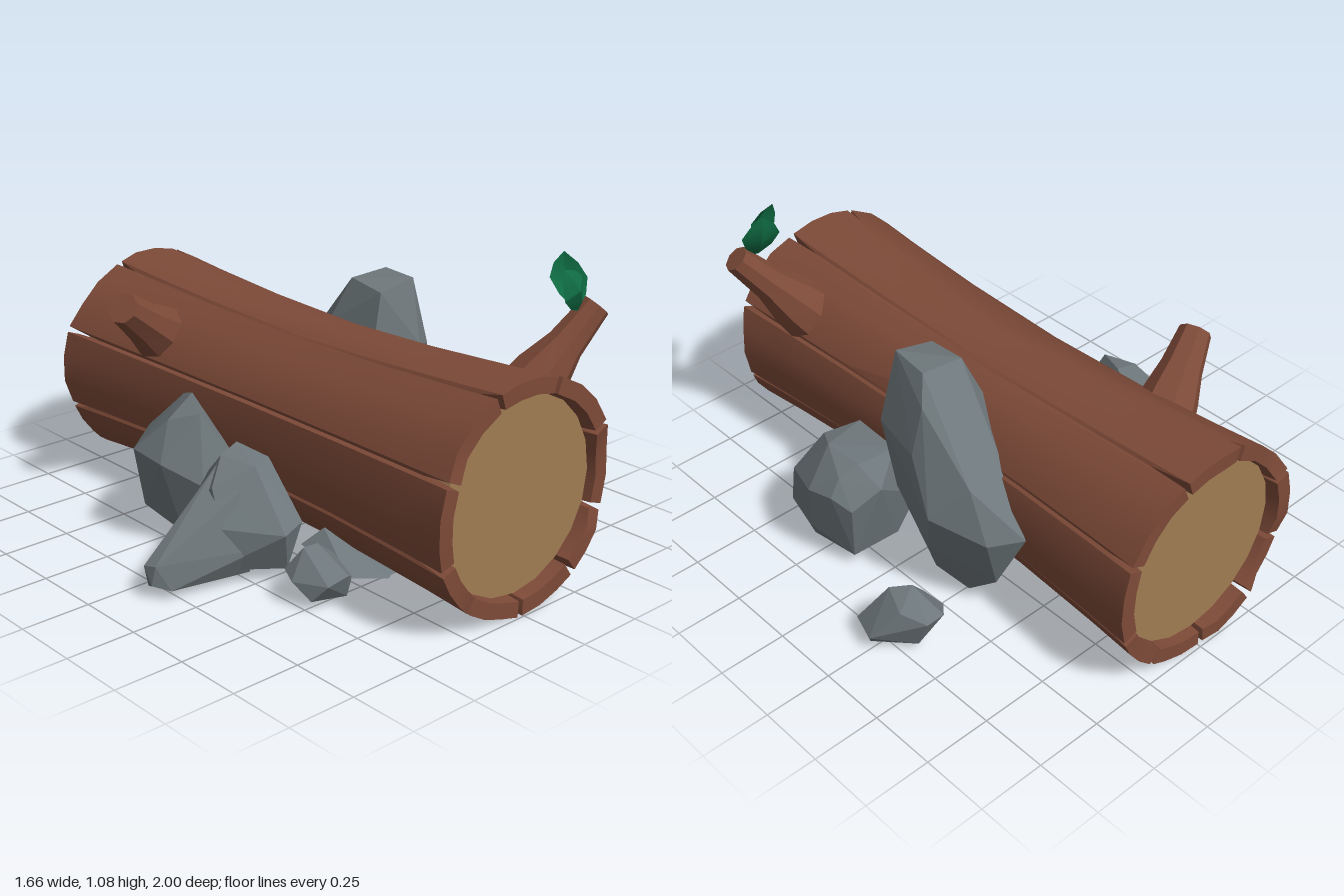
import * as THREE from 'three';
import { toCreasedNormals } from 'three/addons/utils/BufferGeometryUtils.js';
import { ConvexGeometry } from 'three/addons/geometries/ConvexGeometry.js';

const V = (x, y, z) => new THREE.Vector3(x, y, z);
const barkMat = new THREE.MeshStandardMaterial({ color: 0x7d4a38 });
const woodMat = new THREE.MeshStandardMaterial({ color: 0xa07c52 });
const rockMat = new THREE.MeshStandardMaterial({ color: 0x6e777b });
const leafMat = new THREE.MeshStandardMaterial({ color: 0x0f6b42, side: THREE.DoubleSide });

const AXIS_Y = 0.41;

function named(name, geometry, material) {
  const mesh = new THREE.Mesh(geometry, material);
  mesh.name = name;
  return mesh;
}

// Surface from a grid of points: rows[j][i]
function gridGeometry(columns, closed) {
  const n = columns[0].length, m = columns.length, index = [];
  for (let j = 0; j < (closed ? m : m - 1); j++) {
    const a = j * n, b = ((j + 1) % m) * n;
    for (let i = 0; i < n - 1; i++) index.push(a + i, b + i, a + i + 1, b + i, b + i + 1, a + i + 1);
  }
  const g = new THREE.BufferGeometry().setFromPoints(columns.flat());
  g.setIndex(index);
  return toCreasedNormals(g, 0.45);
}

// Bark tube, flared at the ends, with V-shaped splits running in from both ends
function barkGeometry() {
  const splits = [25, 70, 110, 157, 200, 233, 268, 306, 340];
  const marks = [];
  splits.forEach((a, k) => {
    const next = splits[(k + 1) % splits.length] + (k === splits.length - 1 ? 360 : 0);
    marks.push([a - 1.6, 0, k], [a, 1, k], [a + 1.6, 0, k]);
    for (const t of [0.36, 0.68]) marks.push([a + (next - a) * t, 0, k]);
  });
  const columns = marks.map(([deg, split, k], j) => {
    const a = THREE.MathUtils.degToRad(deg);
    const at = (r, z) => V(r * Math.cos(a), AXIS_Y + r * Math.sin(a), z);
    const wobble = 0.006 * Math.sin(j * 2.3);
    const outer = z => 0.354 + 0.05 * Math.abs(z) ** 1.7 + wobble * (1 - Math.abs(z)) - (split ? 0.01 : 0);
    const endFront = split ? 0.87 - 0.03 * Math.sin(k * 2) : 0.99 + 0.01 * Math.cos(k * 1.9);
    const endBack = split ? 0.86 + 0.03 * Math.cos(k * 3) : 0.99 + 0.01 * Math.sin(k * 2.7);
    return [
      at(0.325, -0.8), at(0.347, -endBack),
      ...[-endBack, -0.8, -0.45, 0, 0.45, 0.8, endFront].map(z => at(outer(z), z)),
      at(0.347, endFront), at(0.325, 0.8),
    ];
  });
  return gridGeometry(columns, true);
}

// Tapered branch stub with a flared root
function branch(name, from, to, rootR, tipR) {
  const dir = to.clone().sub(from), len = dir.length();
  const profile = [[rootR, 0], [rootR * 0.86, 0.3], [tipR * 1.3, 0.6], [tipR, 1], [0, 1]]
    .map(([r, t]) => new THREE.Vector2(r, t * len));
  const mesh = named(name, toCreasedNormals(new THREE.LatheGeometry(profile, 8), 0.6), barkMat);
  mesh.position.copy(from);
  mesh.quaternion.setFromUnitVectors(V(0, 1, 0), dir.normalize());
  return mesh;
}

// Leaf folded along its midrib
function leaf(name, base, tip, side, bow) {
  const columns = [-1, 0, 1].map(s => [[0, 0.1], [0.25, 0.7], [0.55, 1], [0.8, 0.65], [1, 0]].map(([t, w]) =>
    base.clone().lerp(tip, t)
      .addScaledVector(side, s * w)
      .addScaledVector(bow, Math.sin(Math.PI * t) * (s ? 0.3 : 1))));
  return named(name, gridGeometry(columns, false), leafMat);
}

// Faceted boulders, each the hull of a few corners; the pointed one is two hulls
const rocks = {
  tallRock: [
    [0.24, 0.83, 0.07], [0.39, 0.86, 0.08], [0.41, 0.86, -0.08], [0.25, 0.85, -0.09], [0.46, 0.77, -0.13],
    [0.37, 0.63, 0.14], [0.46, 0.6, 0.09], [0.2, 0.65, 0.08], [0.19, 0.68, -0.15], [0.51, 0.6, -0.13],
    [0.55, 0.42, -0.25], [0.46, 0.56, -0.36], [0.37, 0.4, -0.53], [0.47, 0.38, -0.45], [0.3, 0.6, -0.33],
    [0.4, 0.16, -0.42], [0.25, 0.05, -0.28], [0.39, 0.02, -0.27], [0.41, 0.04, -0.12], [0.22, 0.08, -0.12],
    [0.45, 0.34, 0.03], [0.25, 0.34, 0.03], [0.51, 0.25, -0.2]],
  broadRock: [
    [0.39, 0.44, 0.3], [0.52, 0.43, 0.34], [0.57, 0.46, 0.25], [0.56, 0.45, 0.1], [0.4, 0.44, 0.1],
    [0.63, 0.42, 0.12], [0.69, 0.34, 0.22], [0.67, 0.35, 0.12], [0.52, 0.36, 0.03], [0.63, 0.3, 0.06],
    [0.62, 0.29, 0.4], [0.45, 0.29, 0.45], [0.35, 0.15, 0.47], [0.46, 0.14, 0.5], [0.61, 0.12, 0.44],
    [0.67, 0.15, 0.25], [0.62, 0.05, 0.3], [0.6, 0.06, 0.1], [0.4, 0.02, 0.22], [0.45, 0.03, 0.38],
    [0.34, 0.08, 0.4], [0.32, 0.2, 0.08], [0.4, 0.05, 0.1]],
  smallSideRock: [
    [0.56, 0.1, -0.33], [0.62, 0.14, -0.4], [0.7, 0.15, -0.41], [0.83, 0.07, -0.26], [0.8, 0.08, -0.16],
    [0.65, 0.11, -0.17], [0.56, 0.09, -0.23], [0.67, 0.24, -0.3], [0.72, 0.22, -0.24], [0.75, 0.18, -0.33],
    [0.65, 0.02, -0.28], [0.81, 0.03, -0.24], [0.7, 0.03, -0.36]],
  pointedRockBody: [
    [-0.5, 0.42, 0.08], [-0.4, 0.43, 0.04], [-0.36, 0.4, 0.16], [-0.45, 0.4, 0.2], [-0.58, 0.34, 0.13],
    [-0.45, 0.28, -0.08], [-0.36, 0.3, -0.05], [-0.58, 0.25, 0.02], [-0.6, 0.22, 0.2], [-0.45, 0.2, 0.35],
    [-0.36, 0.22, 0.33], [-0.62, 0.07, 0.18], [-0.58, 0.06, 0.03], [-0.4, 0.05, 0.3], [-0.4, 0.04, -0.02],
    [-0.27, 0.08, 0.12]],
  pointedRockTip: [
    [-0.83, 0.12, 0.08], [-0.82, 0.13, 0.13], [-0.83, 0.06, 0.12], [-0.8, 0.03, 0.06], [-0.78, 0.04, 0.16],
    [-0.72, 0.2, 0.08], [-0.52, 0.39, 0.08], [-0.52, 0.33, 0.2], [-0.53, 0.25, 0], [-0.5, 0.14, 0.27],
    [-0.5, 0.04, 0.22], [-0.5, 0.05, 0]],
  backSideRock: [
    [-0.4, 0.54, -0.2], [-0.53, 0.48, -0.17], [-0.46, 0.51, -0.08], [-0.36, 0.5, -0.3], [-0.6, 0.36, -0.28],
    [-0.59, 0.34, -0.14], [-0.42, 0.36, -0.43], [-0.34, 0.3, -0.42], [-0.5, 0.27, -0.02], [-0.33, 0.3, -0.02],
    [-0.56, 0.14, -0.28], [-0.5, 0.06, -0.14], [-0.4, 0.05, -0.33], [-0.27, 0.12, -0.28], [-0.28, 0.1, -0.08]],
  smallFrontRock: [
    [-0.52, 0.1, 0.46], [-0.5, 0.12, 0.4], [-0.46, 0.2, 0.45], [-0.39, 0.19, 0.44], [-0.4, 0.13, 0.37],
    [-0.3, 0.12, 0.42], [-0.29, 0.06, 0.5], [-0.38, 0.12, 0.58], [-0.46, 0.1, 0.57], [-0.49, 0.04, 0.52],
    [-0.36, 0.03, 0.55], [-0.42, 0.02, 0.44]],
  frontSlab: [
    [-0.34, 0.12, 0.3], [-0.33, 0.07, 0.52], [-0.2, 0.05, 0.58], [-0.04, 0.05, 0.5], [0, 0.06, 0.3],
    [-0.1, 0.03, 0.34], [-0.25, 0.03, 0.46], [-0.2, 0.05, 0.2], [-0.28, 0.18, 0.35], [-0.1, 0.1, 0.4]],
  backSlab: [
    [-0.1, 0.05, -0.4], [-0.04, 0.05, -0.56], [0.08, 0.06, -0.53], [0.12, 0.05, -0.38], [0.02, 0.05, -0.3],
    [0.02, 0.02, -0.44], [0.06, 0.1, -0.42]],
};

export function createModel() {
  const model = new THREE.Group();
  model.name = 'logWithRocks';

  // Log: split bark around a solid core whose cut ends sit slightly recessed
  model.add(named('bark', barkGeometry(), barkMat));
  const core = named('woodCore', new THREE.CylinderGeometry(0.34, 0.34, 1.9, 20), woodMat);
  core.rotation.x = Math.PI / 2;
  core.position.y = AXIS_Y;
  model.add(core);

  // Branch stubs
  model.add(
    branch('leftBranch', V(0.24, 0.6, 0.73), V(0.49, 0.912, 0.83), 0.115, 0.05),
    branch('rightBranch', V(-0.22, 0.6, -0.57), V(-0.487, 0.8, -0.47), 0.115, 0.058));

  // Sprout
  const sprout = new THREE.Group();
  sprout.name = 'sprout';
  sprout.add(
    leaf('outerLeaf', V(0.41, 0.91, 0.82), V(0.315, 1.065, 0.83), V(0.058, 0.03, -0.015), V(0, 0, 0.045)),
    leaf('innerLeaf', V(0.415, 0.91, 0.81), V(0.42, 1.09, 0.74), V(0.06, -0.005, 0.03), V(0.01, -0.01, -0.025)));
  model.add(sprout);

  // Rocks
  for (const [name, corners] of Object.entries(rocks))
    model.add(named(name, new ConvexGeometry(corners.map(c => V(...c))), rockMat));

  return model;
}
